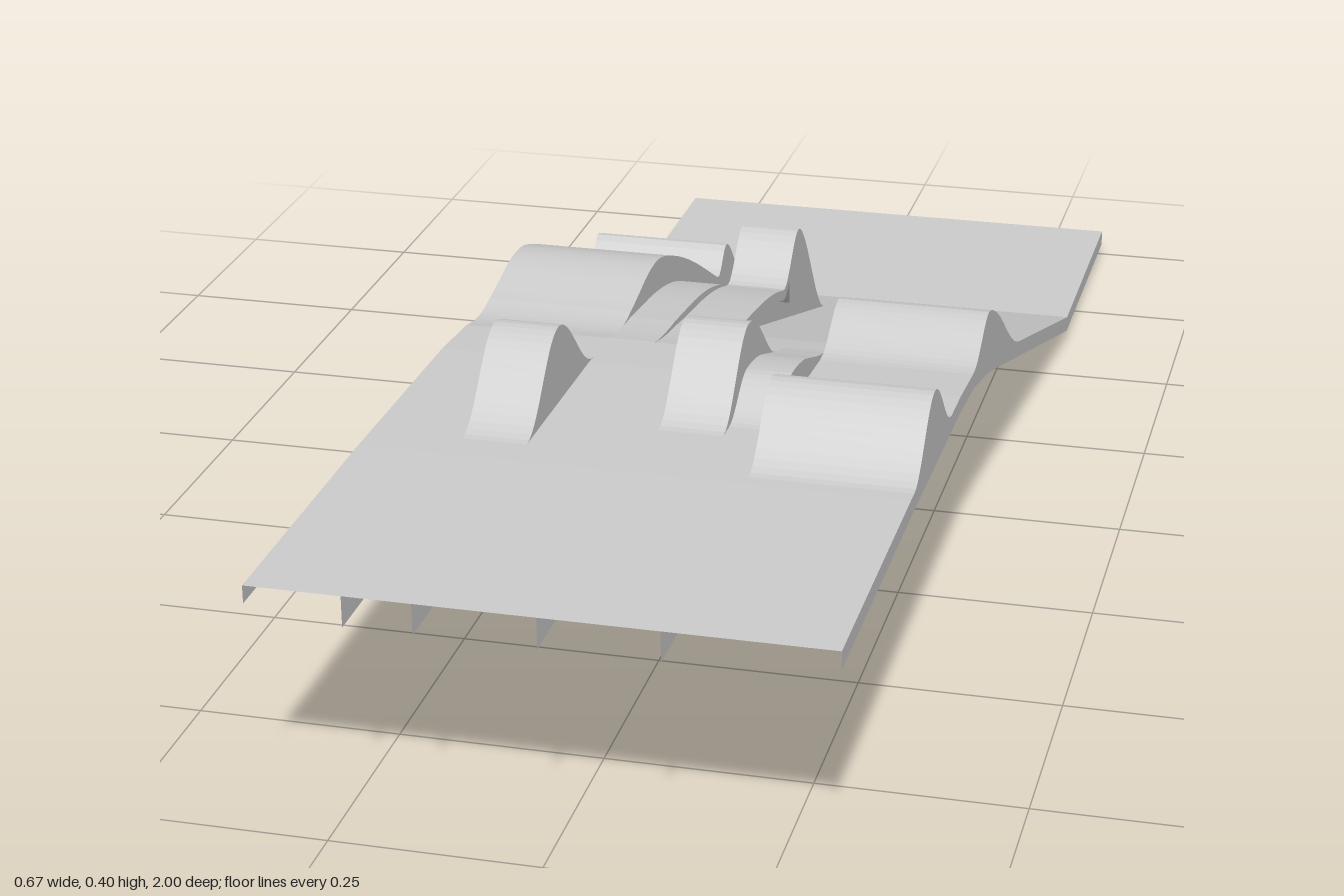
import * as THREE from 'three';

const material = new THREE.MeshStandardMaterial({ color: 0xcccccc, side: THREE.DoubleSide, flatShading: true });

// Plain deck from front to back as [z, y]: high platform, ramp, low platform
const deckPoints = [[1, 0.31], [0.62, 0.31], [0.3, 0.304], [0.2, 0.296], [0.1, 0.274], [0, 0.243], [-0.63, 0.04], [-1, 0.04]];

function deck(z) {
  const i = Math.max(1, deckPoints.findIndex(p => p[0] <= z + 1e-6));
  const [z0, y0] = deckPoints[i - 1], [z1, y1] = deckPoints[i];
  return THREE.MathUtils.mapLinear(z, z0, z1, y0, y1);
}

// Cosine swell with its own run-up and run-off lengths
function swell(z, { at, front, back, height }) {
  const t = Math.min(1, z > at ? (z - at) / front : (at - z) / back);
  return height * (0.5 + 0.5 * Math.cos(Math.PI * t));
}

// Two swells shared by both lanes on the -x side
const crest = { at: -0.07, front: 0.25, back: 0.55, height: 0.086 };
const rearBump = { at: -0.43, front: 0.06, back: 0.12, height: 0.063 };

// Lanes from -x to +x, each with its own swells
const lanes = [
  { name: 'outerLane', x: [-0.333, -0.22], swells: [crest, rearBump] },
  { name: 'tallBumpLane', x: [-0.22, -0.14], swells: [{ at: 0.43, front: 0.14, back: 0.15, height: 0.097 }, crest, rearBump] },
  { name: 'archedLane', x: [-0.14, -0.08], swells: [{ at: -0.13, front: 0.35, back: 0.28, height: 0.046 }] },
  { name: 'lowBumpLane', x: [-0.08, 0], swells: [
    { at: -0.17, front: 0.35, back: 0.2, height: 0.042 }, { at: -0.29, front: 0.11, back: 0.16, height: 0.113 }] },
  { name: 'centreBumpLane', x: [0, 0.08], swells: [{ at: 0.36, front: 0.13, back: 0.17, height: 0.095 }] },
  { name: 'smallBumpLane', x: [0.08, 0.137], swells: [{ at: 0.37, front: 0.09, back: 0.22, height: 0.04 }] },
  { name: 'wideBumpLane', x: [0.137, 0.333], swells: [
    { at: 0.48, front: 0.12, back: 0.12, height: 0.08 }, { at: 0.09, front: 0.12, back: 0.25, height: 0.064 }] },
];

const laneTop = lane => z => lane.swells.reduce((y, s) => y + swell(z, s), deck(z));

// Ribbon from z = from to z = to between two edges; each edge returns [x, y] at z
function ribbon(name, from, to, edgeA, edgeB) {
  const steps = Math.round((from - to) / 0.01);
  const pos = [], index = [];
  for (let i = 0; i <= steps; i++) {
    const z = from + (to - from) * i / steps;
    pos.push(...edgeA(z), z, ...edgeB(z), z);
    const k = 2 * i;
    if (i > 0) index.push(k - 2, k - 1, k, k - 1, k + 1, k);
  }
  const geometry = new THREE.BufferGeometry();
  geometry.setAttribute('position', new THREE.Float32BufferAttribute(pos, 3));
  geometry.setIndex(index);
  geometry.computeVertexNormals();
  const mesh = new THREE.Mesh(geometry, material);
  mesh.name = name;
  return mesh;
}

// Vertical wall at x between top(z) and bottom(z)
function wall(name, x, from, to, top, bottom) {
  return ribbon(name, from, to, z => [x, top(z)], z => [x, bottom(z)]);
}

export function createModel() {
  const group = new THREE.Group();
  const tops = lanes.map(laneTop);

  // Running surfaces
  lanes.forEach(({ name, x }, i) => {
    group.add(ribbon(name, 1, -1, z => [x[0], tops[i](z)], z => [x[1], tops[i](z)]));
  });

  // Outer side walls: one arched below the ramp, one following it
  const sideBottom = z => deck(z) - 0.022;
  const belly = { at: -0.18, front: 0.3, back: 0.28, height: 0.042 };
  const archBottom = z => Math.max(0.02, Math.min(sideBottom(z) + swell(z, belly), z + 0.5));
  group.add(wall('archedSideWall', -0.333, 1, -1, tops[0], archBottom));
  group.add(wall('straightSideWall', 0.333, 1, -1, tops[6], sideBottom));

  // Fins under the lane seams: lane on the +x side, start and end z
  const finBottom = z => deck(z) - 0.038;
  const fins = [[1, 1, 0.2], [2, 1, -1], [3, 0.3, -1], [4, 1, 0.05], [4, -0.22, -1], [5, 0.6, -0.6], [6, 1, -0.25]];
  for (const [i, from, to] of fins) {
    const top = z => Math.max(tops[i - 1](z), tops[i](z));
    group.add(wall('seamFin', lanes[i].x[0], from, to, top, finBottom));
  }

  // Open slot in the centre seam, ahead of the low bump
  group.add(wall('slotFin', 0, 0.05, -0.22, tops[4], finBottom));
  group.add(wall('slotLip', 0, 0.05, -0.22, tops[3], z => tops[3](z) - 0.015));
  return group;
}
